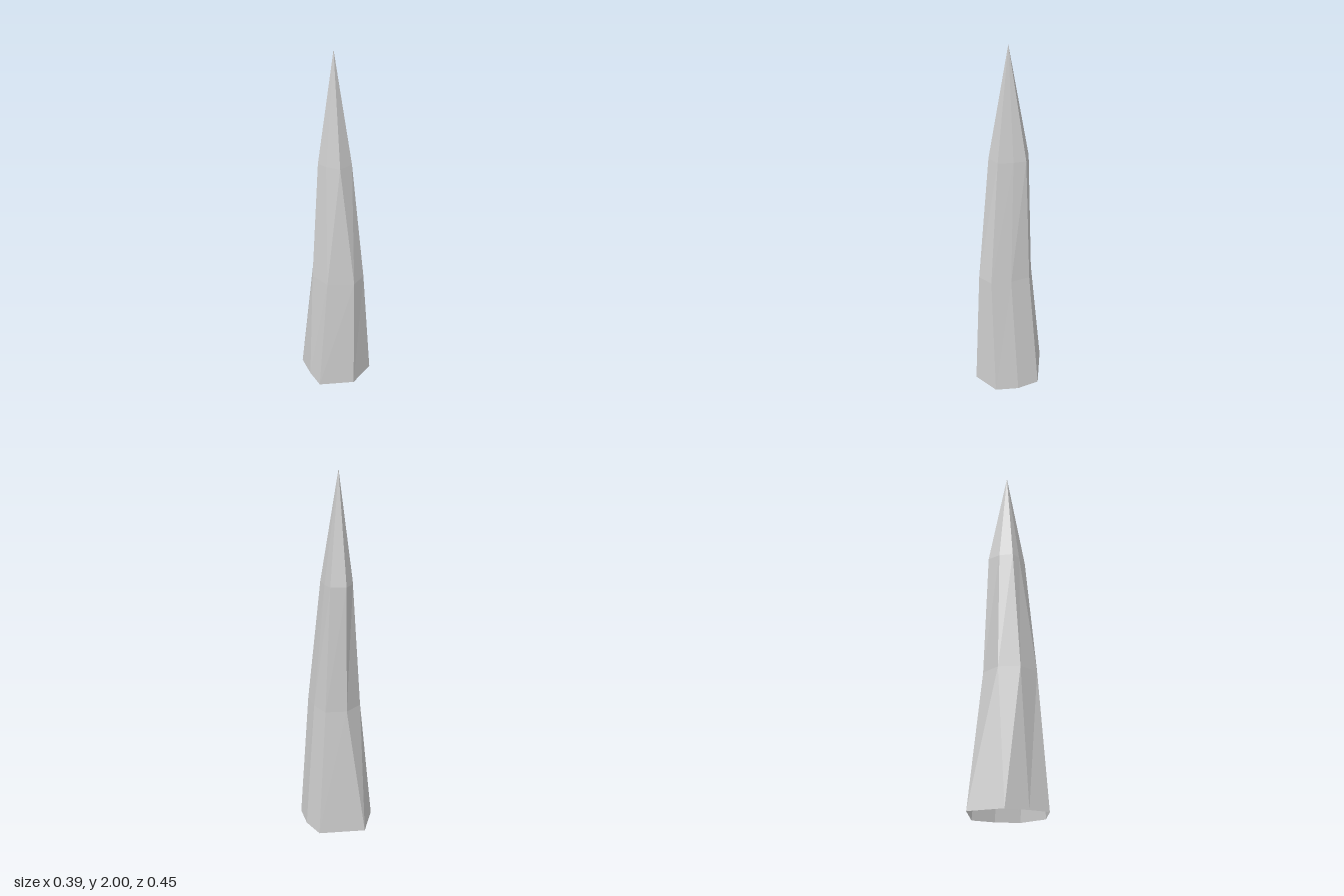
import * as THREE from 'three';

// Cross-sections of the spike from bottom to top: height and [x, z] corners,
// starting at the back and running round by the model's left side.
const rings = [
  { y: 0, pts: [[-0.04, -0.225], [0.19, -0.1], [0.193, 0.03], [0.152, 0.157], [0, 0.222], [-0.188, 0.139], [-0.193, 0.028], [-0.183, -0.095]] },
  { y: 0.73, pts: [[0.019, -0.123], [0.12, -0.065], [0.122, 0.045], [0.093, 0.151], [0.01, 0.19], [-0.121, 0.123], [-0.153, 0.01], [-0.095, -0.091]] },
  { y: 1.42, pts: [[0.01, -0.103], [0.08, -0.057], [0.07, 0.01], [0.046, 0.087], [-0.033, 0.105], [-0.08, 0.045], [-0.1, -0.005], [-0.056, -0.067]] },
];
const apex = [-0.012, 2, 0.002];

function spikeGeometry() {
  const sides = rings[0].pts.length;
  const positions = rings.flatMap(({ y, pts }) => pts.flatMap(([x, z]) => [x, y, z]));
  const index = [];

  // Side panels between neighbouring rings
  for (let r = 0; r < rings.length - 1; r++) {
    for (let i = 0; i < sides; i++) {
      const j = (i + 1) % sides;
      const low = r * sides, high = low + sides;
      index.push(low + i, high + i, low + j, high + i, high + j, low + j);
    }
  }

  // Pointed tip
  const last = (rings.length - 1) * sides;
  const tip = rings.length * sides;
  positions.push(...apex);
  for (let i = 0; i < sides; i++) index.push(last + i, tip, last + (i + 1) % sides);

  const geometry = new THREE.BufferGeometry();
  geometry.setAttribute('position', new THREE.Float32BufferAttribute(positions, 3));
  geometry.setIndex(index);
  const faceted = geometry.toNonIndexed();
  faceted.computeVertexNormals();
  return faceted;
}

export function createModel() {
  const group = new THREE.Group();
  group.name = 'rockSpike';

  // Hollow shell, open at the bottom
  const material = new THREE.MeshStandardMaterial({ color: 0xcccccc, flatShading: true, side: THREE.DoubleSide });
  const spike = new THREE.Mesh(spikeGeometry(), material);
  spike.name = 'spikeShell';
  group.add(spike);
  return group;
}
